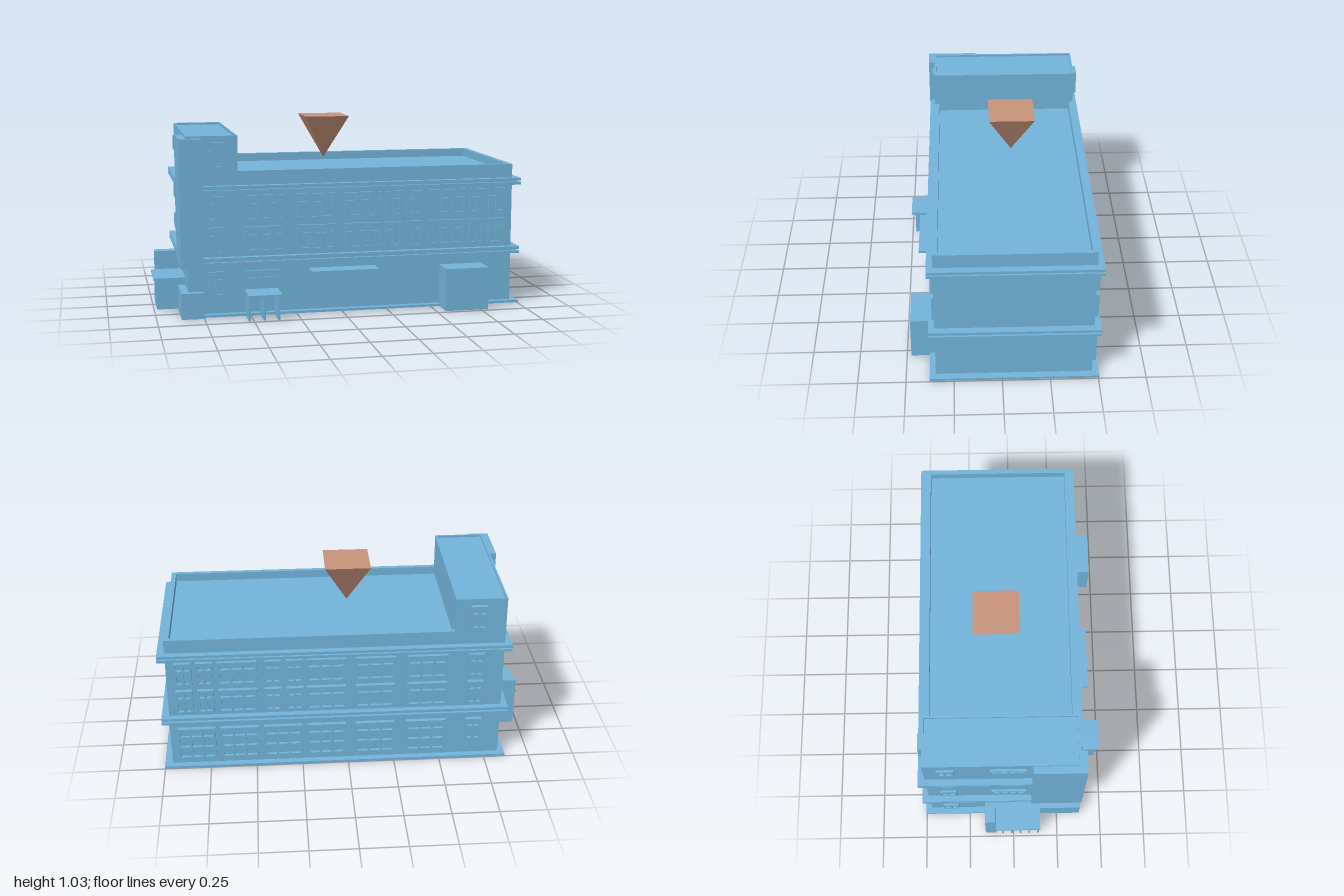
import * as THREE from 'three';

const blue = new THREE.MeshStandardMaterial({ color: 0x72b4da, flatShading: true });
const brown = new THREE.MeshStandardMaterial({ color: 0xc8937b, flatShading: true });

// Box given by its minimum and maximum on each axis
function block(parent, name, x0, x1, y0, y1, z0, z1) {
  const mesh = new THREE.Mesh(new THREE.BoxGeometry(x1 - x0, y1 - y0, z1 - z0), blue);
  mesh.position.set((x0 + x1) / 2, (y0 + y1) / 2, (z0 + z1) / 2);
  mesh.name = name;
  parent.add(mesh);
  return mesh;
}

const rect = (target, x0, x1, y0, y1) => {
  target.moveTo(x0, y0);
  target.lineTo(x1, y0);
  target.lineTo(x1, y1);
  target.lineTo(x0, y1);
  target.closePath();
  return target;
};

// Rectangular rim lying flat, open in the middle
function rim(parent, name, x0, x1, z0, z1, y0, y1, t) {
  const shape = rect(new THREE.Shape(), x0, x1, -z1, -z0);
  shape.holes.push(rect(new THREE.Path(), x0 + t, x1 - t, -z1 + t, -z0 - t));
  const geo = new THREE.ExtrudeGeometry(shape, { depth: y1 - y0, bevelEnabled: false });
  const mesh = new THREE.Mesh(geo.rotateX(-Math.PI / 2), blue);
  mesh.position.y = y0;
  mesh.name = name;
  parent.add(mesh);
}

// Window facing +z: frame with panes cut out, glass set back behind it
function makeWindow(name, w, h, cols, rows, depth) {
  const group = new THREE.Group();
  group.name = name;
  const bar = 0.012;
  const shape = rect(new THREE.Shape(), -w / 2, w / 2, -h / 2, h / 2);
  const pw = (w - bar) / cols;
  // rows lists the heights of the pane rows as fractions, bottom first
  let y = -h / 2 + bar / 2;
  for (const r of rows) {
    const ph = r * (h - bar);
    for (let c = 0; c < cols; c++) {
      const x = -w / 2 + bar / 2 + c * pw;
      shape.holes.push(rect(new THREE.Path(), x + bar / 2, x + pw - bar / 2, y + bar / 2, y + ph - bar / 2));
    }
    y += ph;
  }
  const frame = new THREE.Mesh(new THREE.ExtrudeGeometry(shape, { depth, bevelEnabled: false }), blue);
  frame.name = 'windowFrame';
  group.add(frame);
  block(group, 'windowGlass', -w / 2 + 0.004, w / 2 - 0.004, -h / 2 + 0.004, h / 2 - 0.004, 0, depth * 0.3);
  return group;
}

export function createModel() {
  const model = new THREE.Group();
  model.name = 'building';
  const L = -0.83, R = 0.96, B = -0.47, F = 0.345;

  // Main body, parapet and stair tower
  block(model, 'mainBody', L, R, 0.01, 0.735, B, F);
  rim(model, 'parapet', L, R, B, F, 0.735, 0.78, 0.026);
  block(model, 'stairTower', L, -0.56, 0.735, 0.955, B, F);
  rim(model, 'towerRim', L, -0.56, B, F, 0.955, 0.967, 0.01);

  // Projecting ledges, doubled at the floor lines
  for (const [y0, y1] of [[0.005, 0.018], [0.285, 0.298], [0.308, 0.323], [0.668, 0.683], [0.69, 0.705]])
    block(model, 'ledge', -0.865, 1, y0, y1, -0.505, 0.377);
  block(model, 'lowerLedgeCore', -0.85, 0.98, 0.297, 0.309, -0.488, 0.36);
  block(model, 'upperLedgeCore', -0.85, 0.98, 0.682, 0.691, -0.488, 0.36);

  // Cladding wrapped around the front corner
  for (const [y0, y1, z0] of [[0.27, 0.955, 0.1], [0, 0.14, 0.15]]) {
    block(model, 'cornerFrontPanel', -0.87, -0.75, y0, y1, F, 0.38);
    block(model, 'cornerSidePanel', -0.87, L, y0, y1, z0, F);
  }

  // Front and back windows
  const wallWindow = (back, x0, x1, y0, y1, cols, rows) => {
    const name = cols > 2 ? 'wideWindow' : 'narrowWindow';
    const win = makeWindow(name, x1 - x0, y1 - y0, cols, rows, back ? 0.023 : 0.013);
    win.position.set((x0 + x1) / 2, (y0 + y1) / 2, back ? B : F);
    if (back) win.rotation.y = Math.PI;
    model.add(win);
  };
  const narrow = [[0.24, 0.33], [0.355, 0.445], [0.715, 0.802], [0.825, 0.918]];
  const wide = [[-0.53, -0.315], [-0.25, -0.04], [0.015, 0.22], [0.485, 0.69]];
  const floors = [[0.345, 0.482], [0.515, 0.65]];
  for (const back of [false, true]) {
    for (const [y0, y1] of floors) {
      for (const [x0, x1] of narrow) wallWindow(back, x0, x1, y0, y1, 2, [0.65, 0.35]);
      for (const [x0, x1] of wide) wallWindow(back, x0, x1, y0, y1, 3, [0.65, 0.35]);
    }
    for (const [y0, y1] of [[0.112, 0.245], ...floors, [0.797, 0.932]])
      wallWindow(back, -0.725, -0.64, y0, y1, 2, [0.65, 0.35]);
  }
  for (const [x0, x1] of [...wide, [0.25, 0.455], [0.718, 0.92]])
    wallWindow(true, x0, x1, 0.055, 0.245, 3, [0.36, 0.36, 0.28]);
  wallWindow(false, -0.535, -0.335, 0.195, 0.245, 3, [1]);

  // Windows on the left-hand end wall
  const endWindow = (name, z0, z1, y0, y1, cols) => {
    const win = makeWindow(name, z1 - z0, y1 - y0, cols, [1], 0.013);
    win.rotation.y = -Math.PI / 2;
    win.position.set(L, (y0 + y1) / 2, (z0 + z1) / 2);
    model.add(win);
  };
  for (const y of [0.085, 0.215, 0.41, 0.59, 0.865]) endWindow('smallWindow', -0.4, -0.31, y - 0.04, y + 0.04, 2);
  for (const y of [0.43, 0.61, 0.885]) endWindow('stripWindow', -0.12, 0.07, y - 0.025, y + 0.025, 4);

  // Front entrance canopy carried on fins
  block(model, 'entranceCanopy', -0.53, -0.352, 0.13, 0.142, F, 0.503);
  for (const x of [-0.522, -0.443, -0.366]) block(model, 'entranceFin', x - 0.005, x + 0.005, 0, 0.13, F, 0.48);

  // Front shelf canopy and porch block
  block(model, 'shelfCanopy', -0.18, 0.185, 0.232, 0.245, F, 0.445);
  block(model, 'porchBlock', 0.55, 0.79, 0, 0.233, F, 0.477);

  // Side entrance: solid block, canopy and row of fins
  block(model, 'sideBlock', -0.978, L, 0, 0.28, -0.16, -0.1);
  block(model, 'sideCanopy', -1, L, 0.165, 0.178, -0.1, 0.15);
  for (let i = 0; i < 5; i++) {
    const z = -0.06 + i * 0.05;
    block(model, 'sideFin', -0.985, L, 0.005, 0.165, z - 0.005, z + 0.005);
  }

  // Inverted pyramid above the roof
  const side = 0.245, height = 0.24;
  const geo = new THREE.ConeGeometry(side / Math.SQRT2, height, 4).rotateY(Math.PI / 4).rotateX(Math.PI);
  const pyramid = new THREE.Mesh(geo, brown);
  pyramid.position.set(-0.017, 0.793 + height / 2, -0.08);
  pyramid.name = 'invertedPyramid';
  model.add(pyramid);

  return model;
}
